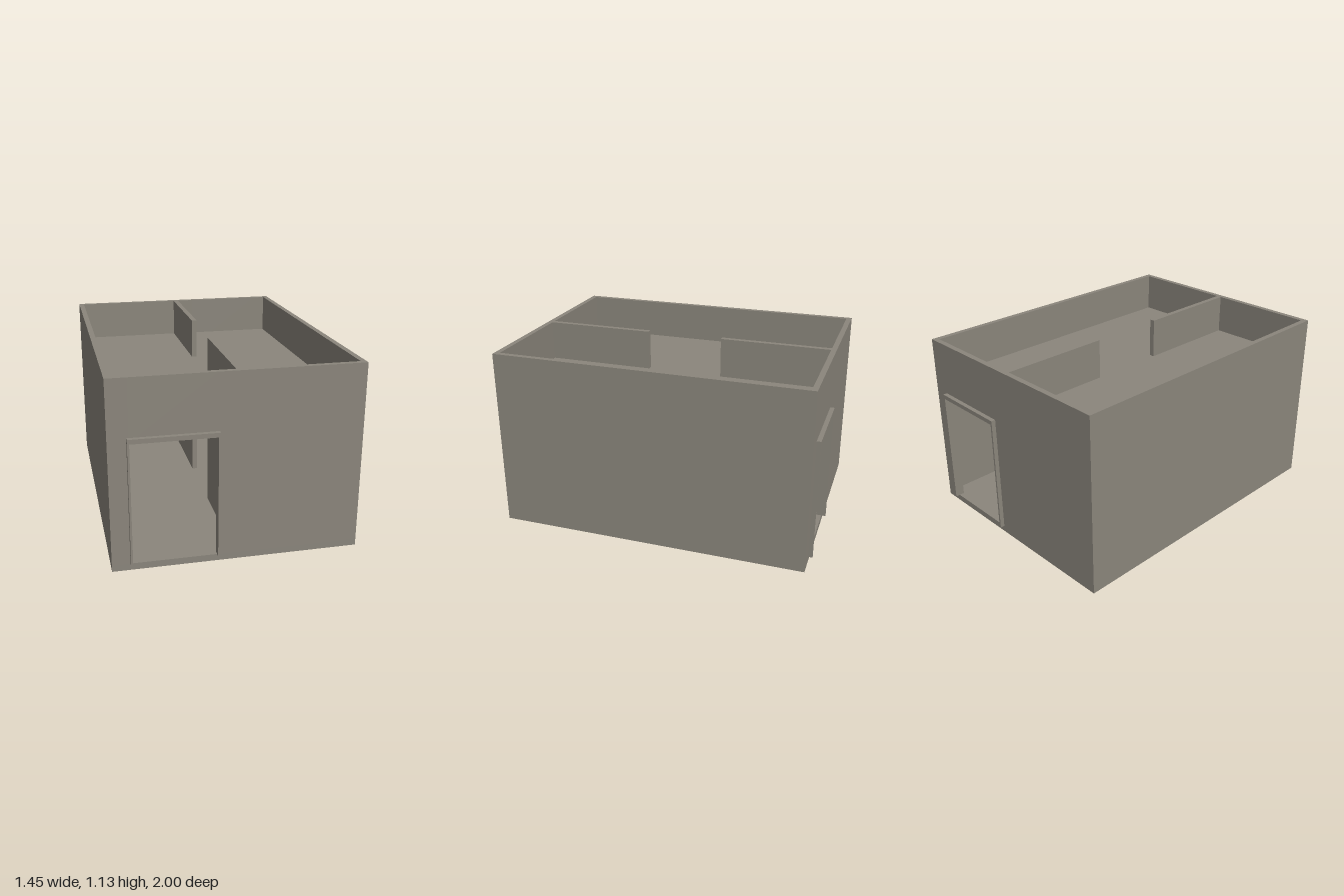
import * as THREE from 'three';

const W = 0.727, D = 0.973, H = 1.133;       // half width, half depth, height
const T = 0.033, BASE = 0.04;                // wall thickness, floor top
const DOOR = [-0.61, -0.122], DOOR_TOP = 0.77;
const FRAME = 0.012, FRAME_Z = 1.0, LINTEL_TOP = 0.797;

export function createModel() {
  const concrete = new THREE.MeshStandardMaterial({ color: 0x8b867c });
  concrete.name = 'warm grey concrete';
  const model = new THREE.Group();
  model.name = 'openTopBuilding';

  // box given by its extents along each axis
  const block = (parent, name, [x0, x1], [y0, y1], [z0, z1]) => {
    const mesh = new THREE.Mesh(new THREE.BoxGeometry(x1 - x0, y1 - y0, z1 - z0), concrete);
    mesh.position.set((x0 + x1) / 2, (y0 + y1) / 2, (z0 + z1) / 2);
    mesh.name = name;
    parent.add(mesh);
  };

  block(model, 'floorSlab', [-W, W], [0, BASE], [-D, D]);
  block(model, 'ceilingSlab', [-W + T, W - T], [0.85, 0.88], [-D + T, D - T]);

  // the two halves are the same, turned half way round
  for (let i = 0; i < 2; i++) {
    const half = new THREE.Group();
    half.name = i ? 'backHalf' : 'frontHalf';
    half.rotation.y = i * Math.PI;
    model.add(half);

    const tall = [BASE, H], wallZ = [D - T, D], frameZ = [D, FRAME_Z];
    const [a, b] = DOOR;

    // outer walls, with a doorway in the end wall
    block(half, 'sideWall', [W - T, W], tall, [-D + T, D - T]);
    block(half, 'doorPierNarrow', [-W, a], tall, wallZ);
    block(half, 'doorPierWide', [b, W], tall, wallZ);
    block(half, 'doorHeader', [a, b], [DOOR_TOP, H], wallZ);

    // partition reaching in from the end wall
    block(half, 'partition', [-T / 2, T / 2], tall, [0.245, D - T]);

    // raised door surround
    block(half, 'doorJambOuter', [a - FRAME, a], [BASE, DOOR_TOP], frameZ);
    block(half, 'doorJambInner', [b, b + FRAME], [BASE, DOOR_TOP], frameZ);
    block(half, 'doorLintel', [a - FRAME, b + FRAME], [DOOR_TOP, LINTEL_TOP], frameZ);
  }
  return model;
}
